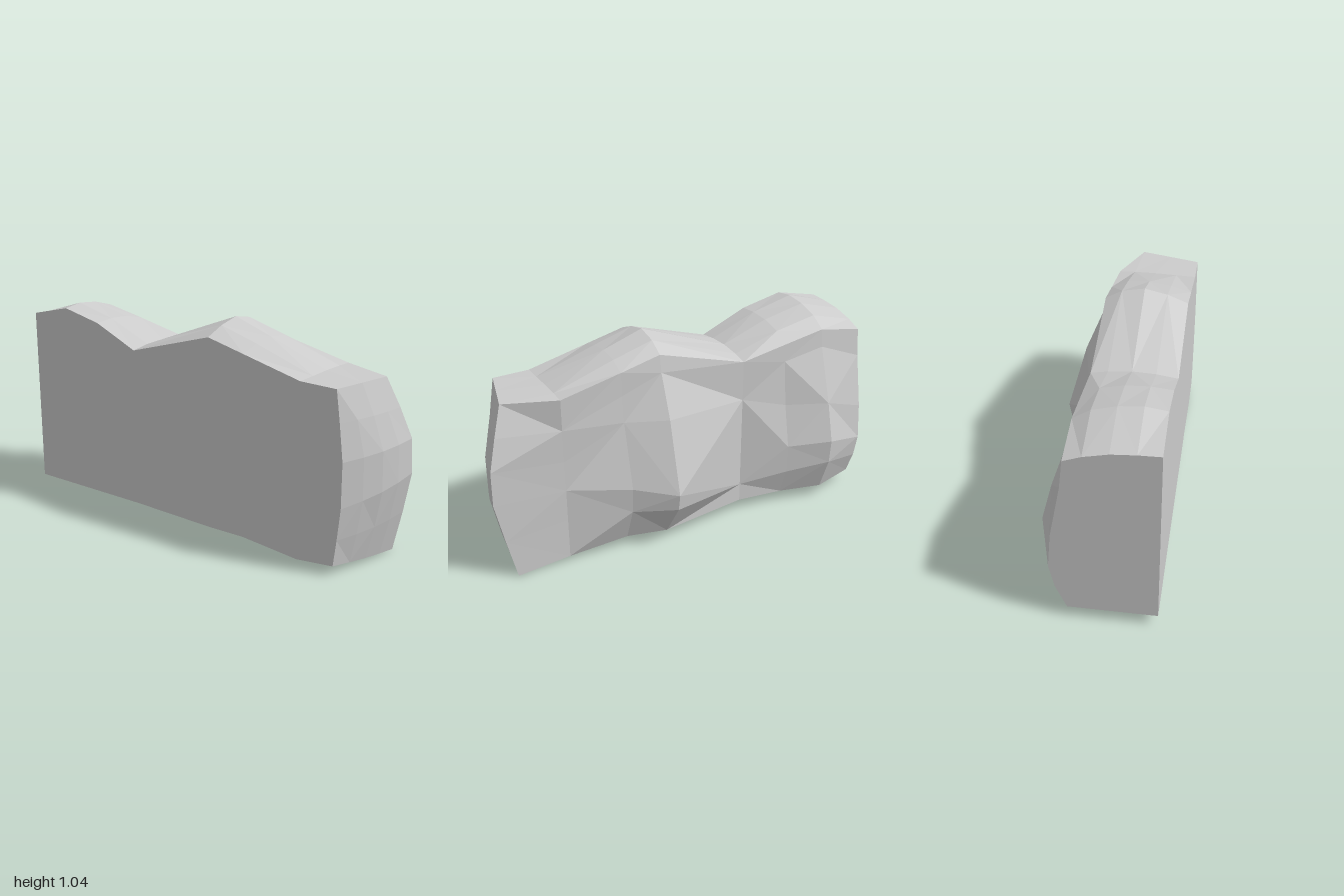
import * as THREE from 'three';

const LEFT = -0.3;
const COLS = [0, 0.25, 0.5, 0.75, 1];
const CROWN_X = [-0.3, -0.2, -0.09, 0.02];

// Cross-sections from front to back.
// crown: heights of the top at CROWN_X; side: [x, y] from top edge to foot
const SECTIONS = [
  { z: 0.65, crown: [0.85, 0.853, 0.857, 0.857],
    side: [[0.1, 0.855], [0.1, 0.7], [0.1, 0.54], [0.105, 0.39], [0.105, 0.23], [0.107, 0.025]] },
  { z: 0.35, crown: [0.925, 0.955, 0.97, 0.96],
    side: [[0.1, 0.925], [0.105, 0.81], [0.12, 0.68], [0.2, 0.36], [0.19, 0.23], [0.12, 0.052]] },
  { z: 0.15, crown: [0.975, 1.015, 1.04, 1.02],
    side: [[0.1, 0.975], [0.115, 0.89], [0.2, 0.68], [0.3, 0.32], [0.285, 0.235], [0.16, 0.05]] },
  { z: -0.31, crown: [0.85, 0.865, 0.87, 0.86],
    side: [[0.1, 0.845], [0.1, 0.75], [0.1, 0.64], [0.1, 0.36], [0.1, 0.155], [0.1, 0.06]] },
  { z: -0.55, crown: [0.955, 0.965, 0.96, 0.935],
    side: [[0.1, 0.89], [0.105, 0.8], [0.13, 0.57], [0.175, 0.35], [0.17, 0.2], [0.125, 0.06]] },
  { z: -0.77, crown: [1.005, 1.02, 1.01, 0.98],
    side: [[0.1, 0.93], [0.11, 0.84], [0.2, 0.56], [0.25, 0.36], [0.24, 0.235], [0.175, 0.06]] },
  { z: -1, crown: [0.955, 0.953, 0.945, 0.92],
    side: [[0.1, 0.89], [0.115, 0.75], [0.165, 0.48], [0.18, 0.3], [0.155, 0.18], [0.105, 0.06]] },
];

// Curved front end: its two upright edges and how far the face swells between them
const NOSE_LEFT = [[LEFT, 0.845, 0.83], [LEFT, 0.7, 0.85], [LEFT, 0.53, 0.87],
  [LEFT, 0.32, 0.87], [LEFT, 0.17, 0.855], [LEFT, 0.045, 0.84]];
const NOSE_RIGHT = [[0, 0.85, 0.9], [0.045, 0.71, 0.95], [0.085, 0.565, 0.995],
  [0.095, 0.4, 1], [0.105, 0.2, 0.96], [0.11, 0, 0.915]];
const NOSE_SWELL = [0, 0.015, 0.025, 0.025, 0.02, 0.01];

const lerp = (a, b, t) => a.map((v, k) => v + (b[k] - v) * t);
const span = (a, b) => COLS.map(t => lerp(a, b, t));

// Surface through a grid of points
function patch(name, grid, material, flip = false) {
  const index = [];
  const n = grid[0].length;
  for (let i = 0; i < grid.length - 1; i++) {
    for (let j = 0; j < n - 1; j++) {
      const a = i * n + j, b = a + 1, c = a + n, d = c + 1;
      // alternate the diagonal for an irregular faceted look
      const tris = (i + j) % 2 ? [a, b, c, b, d, c] : [a, b, d, a, d, c];
      index.push(...(flip ? tris.reverse() : tris));
    }
  }
  const geometry = new THREE.BufferGeometry();
  geometry.setAttribute('position', new THREE.Float32BufferAttribute(grid.flat(2), 3));
  geometry.setIndex(index);
  geometry.computeVertexNormals();
  const mesh = new THREE.Mesh(geometry, material);
  mesh.name = name;
  return mesh;
}

export function createModel() {
  const group = new THREE.Group();
  group.name = 'rockLedge';
  const stone = new THREE.MeshStandardMaterial({ color: 0xcccccc, flatShading: true });

  // Front end
  const nose = NOSE_LEFT.map((l, r) => span(l, NOSE_RIGHT[r]).map(([x, y, z], c) =>
    [x, y, z + NOSE_SWELL[r] * Math.sin(Math.PI * COLS[c])]));

  // Bulging side, humped top, base and flat wall all run from the nose to the back
  const side = [NOSE_RIGHT, ...SECTIONS.map(s => s.side.map(([x, y]) => [x, y, s.z]))];
  const top = [nose[0], ...SECTIONS.map((s, i) =>
    [...s.crown.map((y, c) => [CROWN_X[c], y, s.z]), side[i + 1][0]])];
  const base = [nose[5], ...side.slice(1).map(p => span([LEFT, p[5][1], p[5][2]], p[5]))];
  const wall = [NOSE_LEFT, ...SECTIONS.map((s, i) =>
    [0, 0.2, 0.4, 0.6, 0.8, 1].map(t => lerp(top[i + 1][0], base[i + 1][0], t)))];

  // Flat back end
  const last = SECTIONS.length;
  const back = side[last].map((p, r) => r === 0 ? top[last] : span(wall[last][r], p));

  group.add(
    patch('frontFace', nose, stone, true),
    patch('bulgingSide', side, stone),
    patch('humpedTop', top, stone),
    patch('base', base, stone, true),
    patch('flatWall', wall, stone, true),
    patch('backFace', back, stone),
  );
  return group;
}
